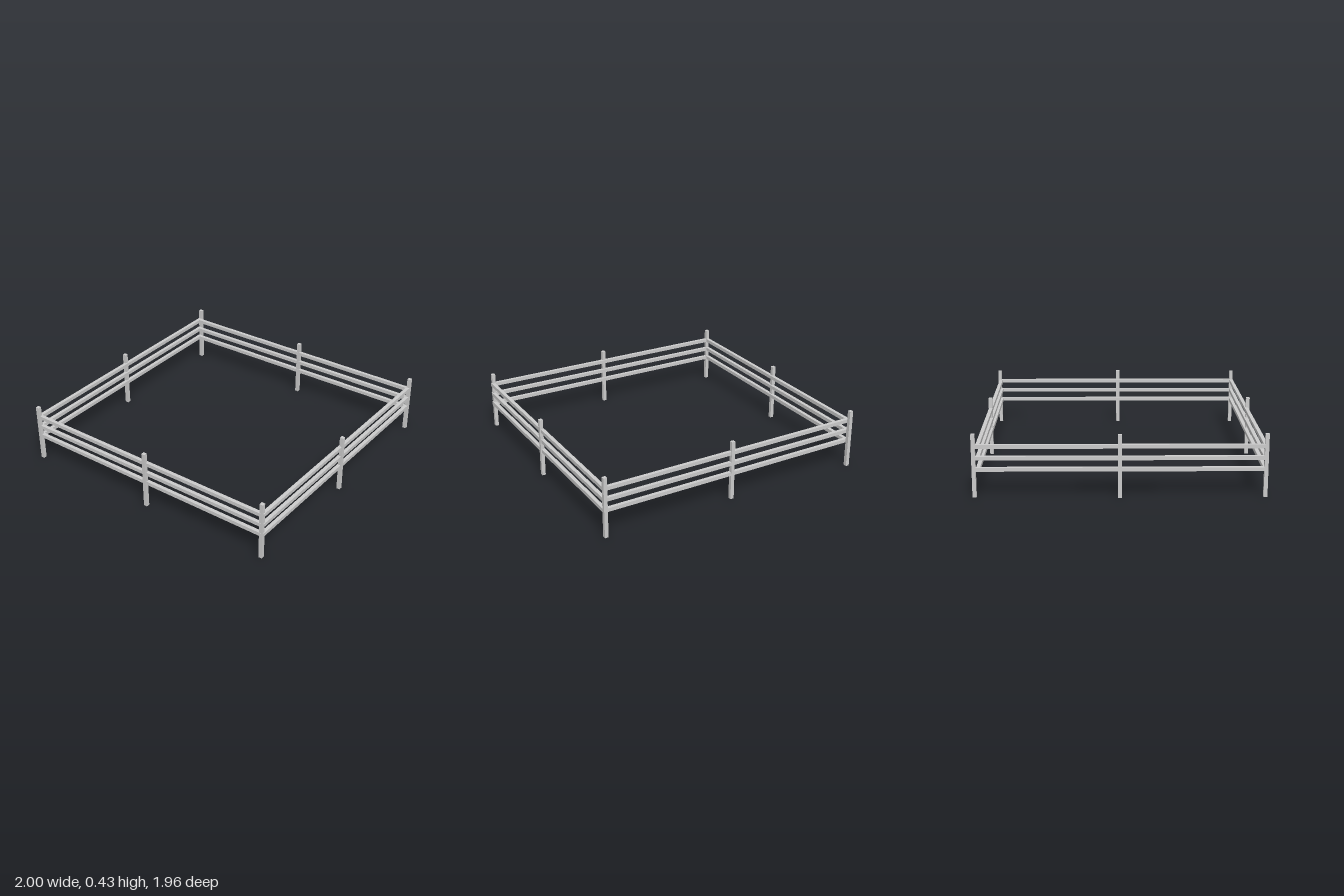
import * as THREE from 'three';

const POST_SIZE = 0.026;
const POST_HEIGHT = 0.43;
const RAIL_SIZE = 0.026;
const RAIL_HEIGHTS = [0.191, 0.267, 0.346];

export function createModel() {
  const group = new THREE.Group();
  group.name = 'paddockFence';
  const material = new THREE.MeshStandardMaterial({ color: 0xcccccc, flatShading: true });

  // Upright posts, [name, x, z]: four corners and the middle of each side
  const posts = [
    ['frontRightPost', -0.975, 0.968],
    ['frontMiddlePost', 0.016, 0.969],
    ['frontLeftPost', 0.969, 0.953],
    ['leftMiddlePost', 0.986, 0.012],
    ['backLeftPost', 0.985, -0.968],
    ['backMiddlePost', 0.016, -0.941],
    ['backRightPost', -0.975, -0.948],
    ['rightMiddlePost', -0.987, 0.01],
  ];
  const postGeometry = new THREE.BoxGeometry(POST_SIZE, POST_HEIGHT, POST_SIZE);
  for (const [name, x, z] of posts) {
    const post = new THREE.Mesh(postGeometry, material);
    post.name = name;
    post.position.set(x, POST_HEIGHT / 2, z);
    group.add(post);
  }

  // Three rails on each side, [name, x1, z1, x2, z2], slightly out of square
  const sides = [
    ['frontRail', -0.975, 0.961, 0.975, 0.955],
    ['leftRail', 0.975, 0.96, 0.983, -0.968],
    ['backRail', 0.983, -0.957, -0.975, -0.919],
    ['rightRail', -0.975, -0.935, -0.975, 0.968],
  ];
  for (const [name, x1, z1, x2, z2] of sides) {
    const length = Math.hypot(x2 - x1, z2 - z1);
    const geometry = new THREE.BoxGeometry(length, RAIL_SIZE, RAIL_SIZE);
    for (const y of RAIL_HEIGHTS) {
      const rail = new THREE.Mesh(geometry, material);
      rail.name = name;
      rail.position.set((x1 + x2) / 2, y, (z1 + z2) / 2);
      rail.rotation.y = -Math.atan2(z2 - z1, x2 - x1);
      group.add(rail);
    }
  }
  return group;
}
